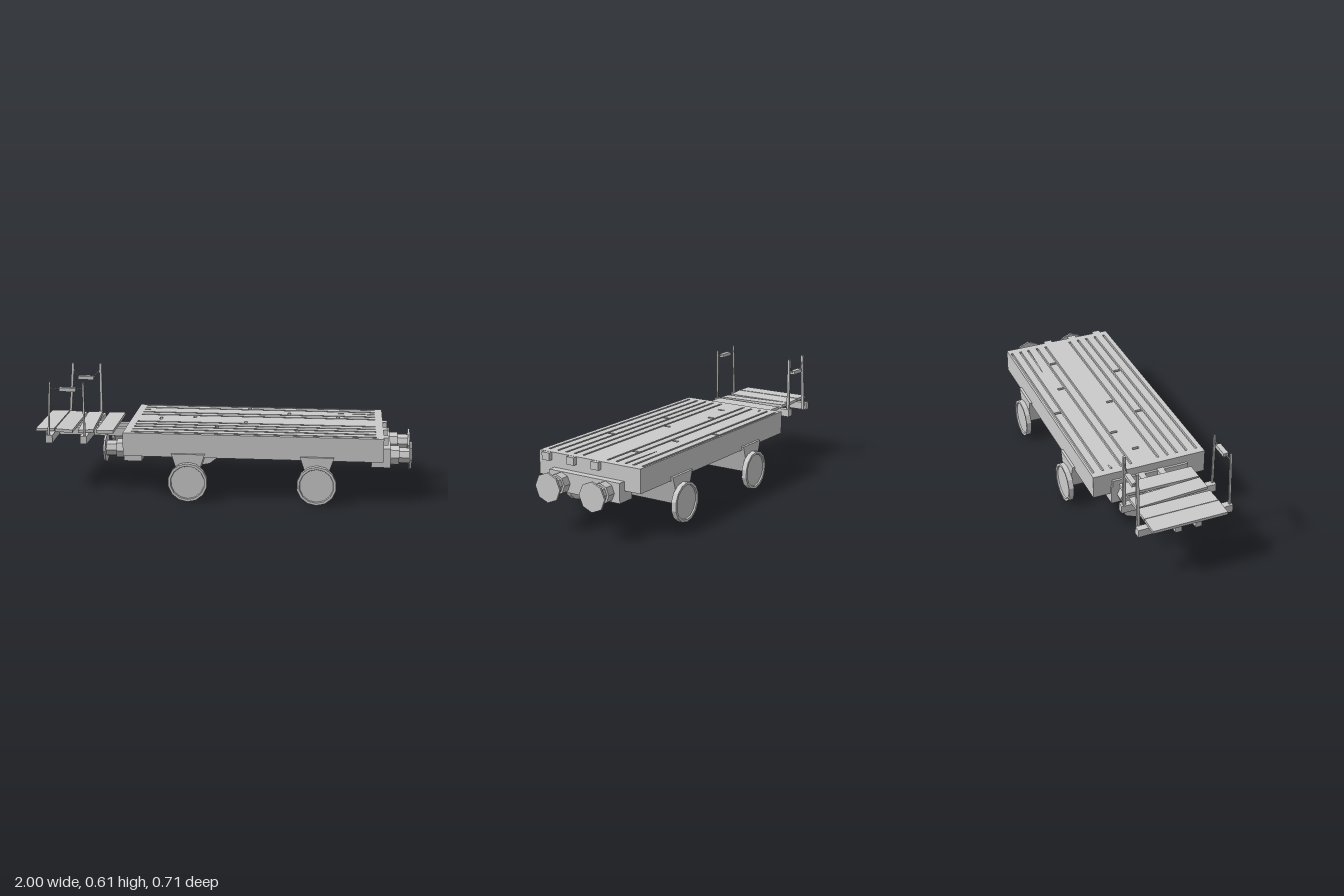
import * as THREE from 'three';

const mat = new THREE.MeshStandardMaterial({ color: 0xcccccc, flatShading: true, side: THREE.DoubleSide });

function add(group, name, geo, x = 0, y = 0, z = 0) {
  const mesh = new THREE.Mesh(geo, mat);
  mesh.name = name;
  mesh.position.set(x, y, z);
  group.add(mesh);
  return mesh;
}

// box given by its limits on each axis
function box(group, name, x0, x1, y0, y1, z0, z1) {
  return add(group, name, new THREE.BoxGeometry(x1 - x0, y1 - y0, z1 - z0),
    (x0 + x1) / 2, (y0 + y1) / 2, (z0 + z1) / 2);
}

// square bar or round wire between two points
function bar(group, name, a, b, r, sides) {
  const p = new THREE.Vector3(...a), q = new THREE.Vector3(...b);
  const d = q.clone().sub(p);
  const geo = new THREE.CylinderGeometry(r, r, d.length(), sides);
  if (sides === 4) geo.rotateY(Math.PI / 4);
  const mesh = add(group, name, geo);
  mesh.position.copy(p).add(q).multiplyScalar(0.5);
  mesh.quaternion.setFromUnitVectors(new THREE.Vector3(0, 1, 0), d.normalize());
  return mesh;
}

function polygon(points) {
  return points.map(([x, y]) => new THREE.Vector2(x, y));
}

// plank deck with grooves and staggered joints cut in
function deck(group) {
  const body = new THREE.Group();
  body.name = 'wagonBed';
  group.add(body);
  box(body, 'bedFrame', -0.51, 0.85, 0.23, 0.342, -0.312, 0.312);

  const rect = (x0, x1, z0, z1) => polygon([[x0, -z0], [x1, -z0], [x1, -z1], [x0, -z1]]);
  const shape = new THREE.Shape(rect(-0.51, 0.85, -0.312, 0.312));
  const cut = (...r) => shape.holes.push(new THREE.Path(rect(...r)));
  const grooves = [-0.295, -0.243, -0.195, -0.14, -0.087, 0.064, 0.118, 0.17, 0.225, 0.28];
  grooves.forEach(z => cut(-0.47, 0.81, z - 0.006, z + 0.006));
  const joints = [[0.115, -0.269], [-0.32, -0.219], [0.34, -0.167], [0.61, -0.113], [-0.17, -0.058],
    [-0.35, -0.011], [0.115, 0.035], [-0.03, 0.144], [0.4, 0.197]];
  joints.forEach(([x, z]) => cut(x - 0.008, x + 0.008, z - 0.018, z + 0.018));
  const geo = new THREE.ExtrudeGeometry(shape, { depth: 0.013, bevelEnabled: false });
  geo.rotateX(-Math.PI / 2);
  add(body, 'plankDeck', geo, 0, 0.342, 0);

  // plank ends that overhang the bed
  for (const z of [0.255, 0.098, -0.053]) box(body, 'plankEnd', 0.845, 0.873, 0.314, 0.354, z - 0.023, z + 0.023);
}

// buffer beam with its two buffers; dir is the way it faces along x
function bufferEnd(group, dir, x0, x1, tip) {
  const end = new THREE.Group();
  end.name = 'bufferEnd';
  group.add(end);
  box(end, 'bufferBeam', x0, x1, 0.175, 0.278, -0.217, 0.218);
  const root = dir > 0 ? x1 : x0;
  const profile = polygon([[0, -0.01], [0.054, -0.01], [0.054, 0.045], [0.043, 0.045],
    [0.043, 0.099], [0.077, 0.099], [0.077, 0.11], [0, 0.11]]);
  for (const z of [0.14, -0.132]) {
    const geo = new THREE.LatheGeometry(profile, 8);
    geo.scale(1, Math.abs(tip - root) / 0.11, 1);
    add(end, 'buffer', geo, root, 0.222, z).rotation.z = -dir * Math.PI / 2;
  }
}

// tapered axle block with a recessed wheel on each side
function wheelSet(group, x) {
  const set = new THREE.Group();
  set.name = 'wheelSet';
  set.position.x = x;
  group.add(set);
  const block = new THREE.Shape(polygon([[-0.088, 0.25], [-0.038, 0.097], [0.038, 0.097], [0.088, 0.25]]));
  const geo = new THREE.ExtrudeGeometry(block, { depth: 0.652, bevelEnabled: false });
  add(set, 'axleBlock', geo, 0, 0, -0.326);
  const profile = polygon([[0, 0], [0.104, 0], [0.104, 0.028], [0.091, 0.028], [0.088, 0.02], [0, 0.02]]);
  for (const s of [1, -1]) {
    const wheel = add(set, 'wheel', new THREE.LatheGeometry(profile, 14), 0, 0.104, s * 0.325);
    wheel.rotation.x = s * Math.PI / 2;
  }
}

// small walkway of loose boards with corner posts and hanging tags
function walkway(group) {
  const walk = new THREE.Group();
  walk.name = 'walkway';
  group.add(walk);
  for (const z of [-0.052, 0.056]) box(walk, 'longBearer', -0.975, -0.5, 0.272, 0.316, z - 0.017, z + 0.017);
  for (const [x, turn] of [[-0.92, 0.02], [-0.725, -0.02]]) {
    const beam = box(walk, 'crossBearer', x - 0.018, x + 0.018, 0.274, 0.316, -0.252, 0.262);
    beam.rotation.y = turn;
  }

  // x, height, width, turn about y, tilt about z
  const boards = [[-0.949, 0.33, 0.1, 0, 0.02], [-0.848, 0.327, 0.094, 0, -0.06],
    [-0.74, 0.327, 0.084, 0.06, 0.06], [-0.627, 0.326, 0.092, 0, 0]];
  for (const [x, y, w, turn, tilt] of boards) {
    const board = add(walk, 'walkwayBoard', new THREE.BoxGeometry(w, 0.016, 0.4), x, y, 0);
    board.rotation.set(0, turn, tilt);
  }

  // each side: z, foot and top of the outer post, tag height, post radius
  const sides = [[0.25, -0.92, -0.903, 0.567, 0.007], [-0.235, -0.905, -0.88, 0.522, 0.01]];
  for (const [z, foot, top, tagY, r] of sides) {
    bar(walk, 'post', [foot, 0.275, z], [top, 0.605, z], r, 4);
    bar(walk, 'post', [-0.725, 0.275, z], [-0.725, 0.605, z], r, 4);
    box(walk, 'hangingTag', -0.852, -0.764, tagY - 0.01, tagY + 0.01, z - 0.0135, z + 0.0135);
    bar(walk, 'cord', [top, 0.572, z], [-0.85, tagY, z], 0.003, 5);
    bar(walk, 'cord', [-0.766, tagY, z], [-0.725, 0.575, z], 0.003, 5);
  }
}

export function createModel() {
  const model = new THREE.Group();
  model.name = 'flatWagon';
  deck(model);
  bufferEnd(model, 1, 0.79, 0.89, 1);
  bufferEnd(model, -1, -0.522, -0.425, -0.635);
  // step above the rear buffer beam that carries the walkway
  box(model, 'walkwayLedge', -0.522, -0.5, 0.23, 0.312, -0.21, 0.21);
  wheelSet(model, -0.165);
  wheelSet(model, 0.508);
  walkway(model);
  return model;
}
